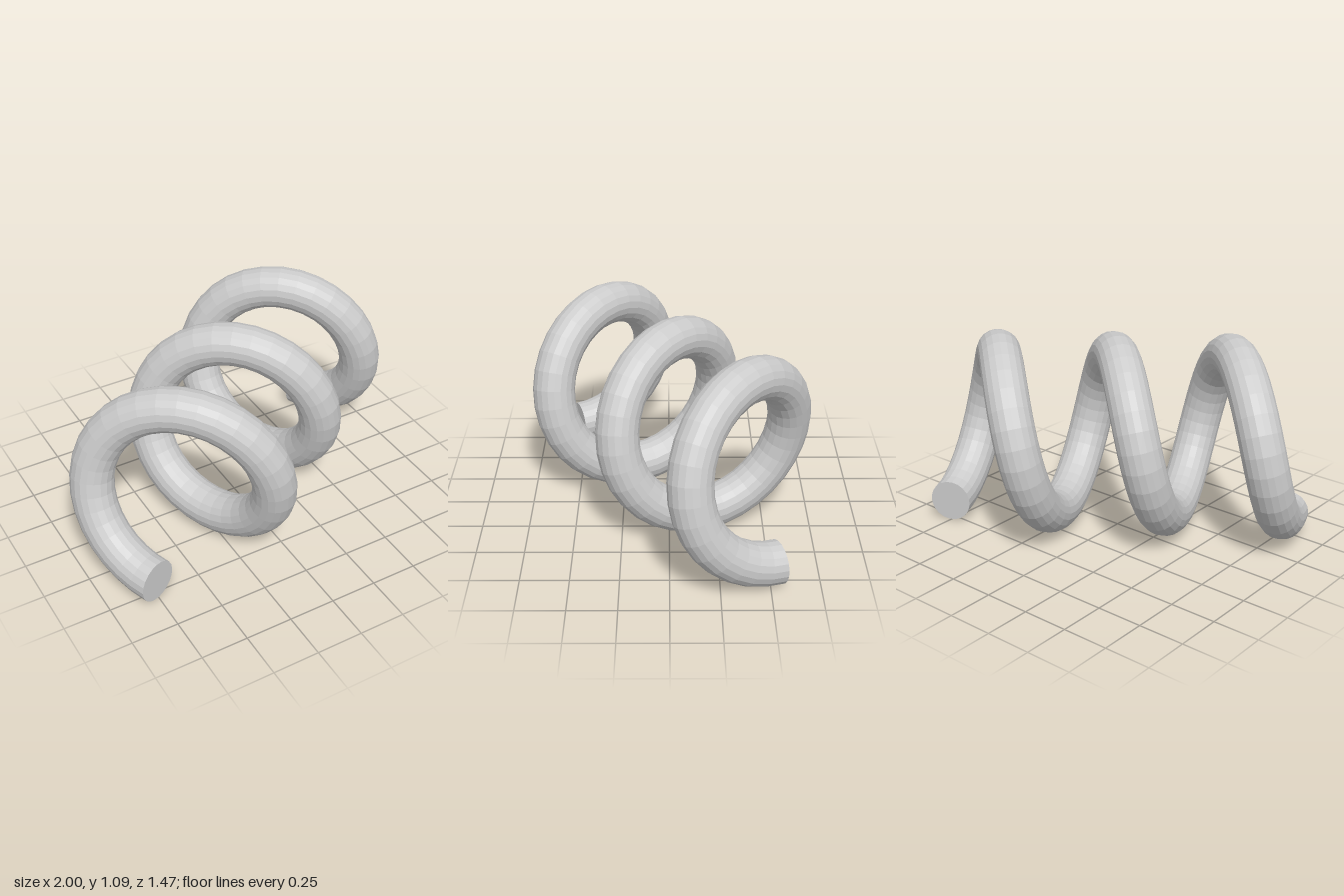
import * as THREE from 'three';

const TURNS = 3, COIL_R = 0.43, WIRE_R = 0.113;
const SIDES = 20, STEPS_PER_TURN = 32;
const PITCH = new THREE.Vector3(0.5, 0, -0.36); // advance per turn, along the coil axis

// Helix around a level axis, starting and ending at the lowest point
class Helix extends THREE.Curve {
  getPoint(t, target = new THREE.Vector3()) {
    const angle = t * TURNS * Math.PI * 2;
    const across = new THREE.Vector3(PITCH.z, 0, -PITCH.x).normalize();
    target.copy(PITCH).multiplyScalar((t - 0.5) * TURNS);
    target.addScaledVector(across, COIL_R * Math.sin(angle));
    target.y = WIRE_R + COIL_R * (1 - Math.cos(angle));
    return target;
  }
}

// Flat disc closing one end, sharing the tube's end ring
function endCap(tube, ring, centre, flip) {
  const pos = tube.attributes.position;
  const at = (j) => new THREE.Vector3().fromBufferAttribute(pos, ring * (SIDES + 1) + j);
  const points = [];
  for (let j = 0; j < SIDES; j++) {
    const a = at(j), b = at(j + 1);
    points.push(centre, flip ? b : a, flip ? a : b);
  }
  const cap = new THREE.BufferGeometry().setFromPoints(points);
  cap.computeVertexNormals();
  return cap;
}

export function createModel() {
  const model = new THREE.Group();
  model.name = 'coilSpring';
  const material = new THREE.MeshStandardMaterial({ color: 0xcccccc, flatShading: true });
  const add = (name, geometry) => {
    const mesh = new THREE.Mesh(geometry, material);
    mesh.name = name;
    model.add(mesh);
  };

  // Wire of the spring
  const helix = new Helix();
  const steps = TURNS * STEPS_PER_TURN;
  const tube = new THREE.TubeGeometry(helix, steps, WIRE_R, SIDES, false);
  add('coil', tube);

  // Cut ends
  add('frontEnd', endCap(tube, 0, helix.getPoint(0), false));
  add('backEnd', endCap(tube, steps, helix.getPoint(1), true));
  return model;
}
